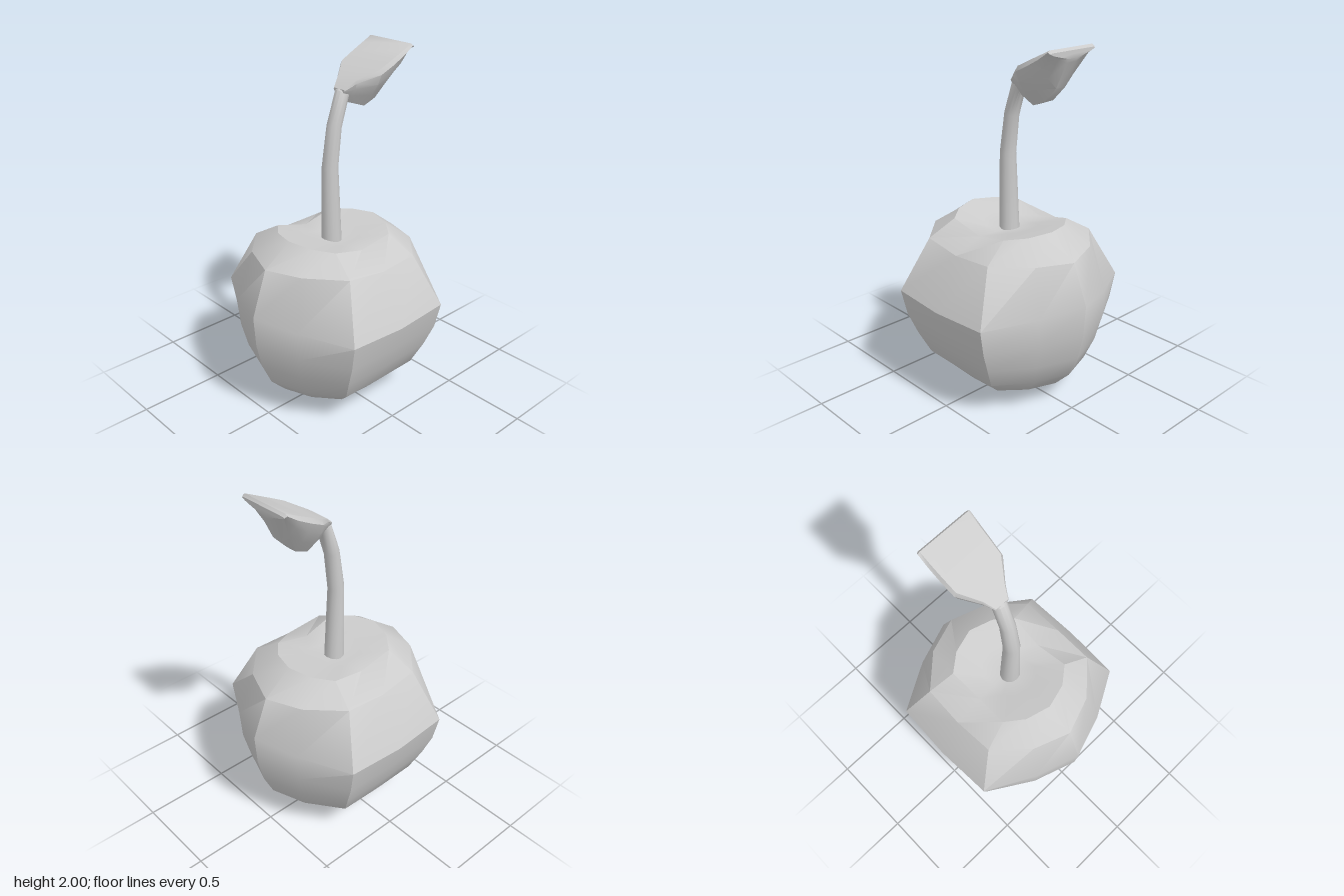
import * as THREE from 'three';
import { toCreasedNormals } from 'three/addons/utils/BufferGeometryUtils.js';

// Skins a stack of equal-sized point rings and closes both ends with fans
function loft(rings, startTip, endTip, crease) {
  const n = rings[0].length;
  const centre = (r) => r.reduce((s, p) => s.map((v, i) => v + p[i] / n), [0, 0, 0]);
  const points = [...rings.flat(), startTip ?? centre(rings[0]), endTip ?? centre(rings.at(-1))];
  const last = (rings.length - 1) * n;
  const start = rings.length * n;
  const index = [];
  for (let k = 0; k < n; k++) {
    const m = (k + 1) % n;
    for (let r = 0; r < last; r += n) {
      index.push(r + k, r + n + k, r + m, r + m, r + n + k, r + n + m);
    }
    index.push(start, k, m, start + 1, last + m, last + k);
  }
  const geometry = new THREE.BufferGeometry();
  geometry.setAttribute('position', new THREE.Float32BufferAttribute(points.flat(), 3));
  geometry.setIndex(index);
  return toCreasedNormals(geometry, crease);
}

// Mirrors one quarter of a ring (side, two diagonals, front) into twelve points
function quarterToRing([a, b, c, d]) {
  const flip = ([x, y, z], sx, sz) => [x * sx, y, z * sz];
  return [a, b, c, d, flip(c, -1, 1), flip(b, -1, 1), flip(a, -1, 1),
    flip(b, -1, -1), flip(c, -1, -1), flip(d, 1, -1), flip(c, 1, -1), flip(b, 1, -1)];
}

function fruitGeometry() {
  const quarters = [
    [[0.20, 0.035, 0], [0.17, 0.03, 0.09], [0.10, 0.03, 0.15], [0, 0.03, 0.17]],
    [[0.37, 0.10, 0], [0.31, 0.10, 0.16], [0.20, 0.10, 0.29], [0, 0.10, 0.30]],
    [[0.47, 0.20, 0], [0.40, 0.20, 0.20], [0.26, 0.20, 0.39], [0, 0.20, 0.395]],
    [[0.53, 0.33, 0], [0.45, 0.33, 0.23], [0.30, 0.33, 0.45], [0, 0.33, 0.46]],
    [[0.565, 0.48, 0], [0.48, 0.47, 0.25], [0.325, 0.46, 0.50], [0, 0.46, 0.51]],
    [[0.577, 0.66, 0], [0.49, 0.64, 0.255], [0.337, 0.61, 0.53], [0, 0.60, 0.545]],
    [[0.485, 0.90, 0], [0.41, 0.91, 0.21], [0.24, 0.91, 0.39], [0, 0.89, 0.40]],
    [[0.32, 1.02, 0], [0.28, 1.01, 0.14], [0.20, 1.0, 0.24], [0, 0.955, 0.23]],
    [[0.16, 0.985, 0], [0.14, 0.98, 0.08], [0.08, 0.965, 0.12], [0, 0.95, 0.11]],
  ];
  return loft(quarters.map(quarterToRing), [0, 0, 0], [0, 0.94, 0], 0.6);
}

function stemGeometry() {
  // x, y, radius, and direction of travel
  const path = [
    [-0.008, 0.92, 0.058, 0, 1],
    [-0.02, 1.38, 0.046, 0.05, 1],
    [0.01, 1.6, 0.042, 0.2, 1],
    [0.065, 1.765, 0.041, 0.6, 0.8],
    [0.11, 1.79, 0.036, 0.85, 0.5],
  ];
  const rings = path.map(([x, y, r, tx, ty]) => {
    const len = Math.hypot(tx, ty);
    return Array.from({ length: 12 }, (_, k) => {
      const a = (k / 12) * Math.PI * 2;
      const u = (Math.cos(a) * r) / len;
      return [x + u * ty, y - u * tx, Math.sin(a) * r];
    });
  });
  return loft(rings, null, null, 0.8);
}

function leafGeometry() {
  // x, top, keel, half width
  const sections = [
    [0.045, 1.795, 1.75, 0.042],
    [0.10, 1.84, 1.715, 0.075],
    [0.20, 1.895, 1.68, 0.155],
    [0.28, 1.932, 1.71, 0.16],
    [0.36, 1.968, 1.79, 0.163],
    [0.425, 1.998, 1.925, 0.163],
    [0.438, 1.985, 1.945, 0.158],
  ];
  // Half outline from keel to top: share of width, share of depth
  const outline = [[0.2, 1], [0.55, 0.68], [0.85, 0.38], [1, 0.12], [0.92, 0]];
  const rings = sections.map(([x, top, keel, w]) => {
    const side = (s) => outline.map(([u, v]) => [x, top - v * (top - keel), s * u * w]);
    return [...side(1), ...side(-1).reverse()];
  });
  return loft(rings, null, null, 0.7);
}

export function createModel() {
  const grey = new THREE.MeshStandardMaterial({ color: 0xcccccc });
  grey.name = 'light grey';
  const group = new THREE.Group();
  group.name = 'cherry';
  const parts = { fruit: fruitGeometry(), stem: stemGeometry(), leaf: leafGeometry() };
  for (const [name, geometry] of Object.entries(parts)) {
    const mesh = new THREE.Mesh(geometry, grey);
    mesh.name = name;
    group.add(mesh);
  }
  // Raise the left shoulder and lower the right one slightly
  const pos = group.getObjectByName('fruit').geometry.attributes.position;
  for (let i = 0; i < pos.count; i++) {
    if (pos.getY(i) > 0.85) pos.setY(i, pos.getY(i) - 0.035 * pos.getX(i));
  }
  return group;
}
